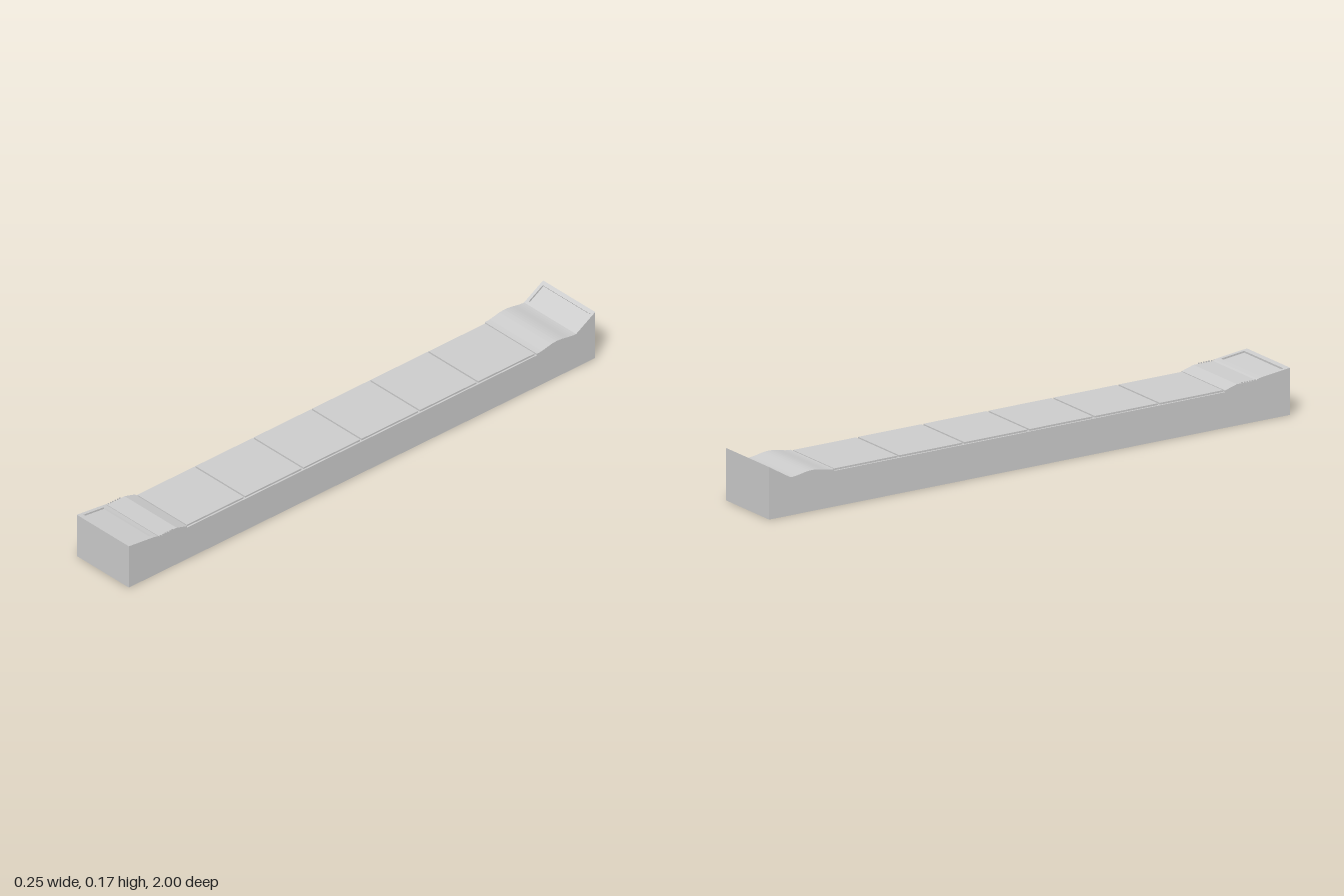
import * as THREE from 'three';

const HALF = 0.124;   // half width of the body
const INNER = 0.112;  // half width of the recessed end panels
const DECK = 0.119;   // bed under the raised deck plates

// Side outline as [z, y] points; "recessed" sinks the two end panels.
function outline(recessed) {
  const p = [[-1, 0], [1, 0], [1, 0.157]];
  if (recessed) p.push([0.982, 0.155], [0.982, 0.149], [0.895, 0.139]);
  p.push([0.893, 0.145], [0.876, 0.142], [0.87, 0.138], [0.81, 0.138], [0.795, 0.138]);
  p.push([0.75, 0.125], [0.75, DECK], [-0.75, DECK], [-0.75, 0.125]);
  // Rounded hump before the rear ramp
  for (let i = 1; i <= 16; i++) {
    const t = i / 16;
    const z = -0.75 - 0.168 * t;
    p.push([z, 0.125 + 0.002 * t + 0.011 * Math.sin(Math.PI * t) ** 2]);
  }
  if (recessed) p.push([-0.928, 0.133], [-0.932, 0.128], [-0.991, 0.163], [-0.987, 0.168]);
  p.push([-1, 0.175]);
  return p;
}

// Extrudes a [z, y] outline between two x positions.
function strip(name, points, x0, x1, material) {
  const shape = new THREE.Shape(points.map(([z, y]) => new THREE.Vector2(z, y)));
  const geo = new THREE.ExtrudeGeometry(shape, { depth: x1 - x0, bevelEnabled: false });
  geo.rotateY(-Math.PI / 2).translate(x1, 0, 0);
  const mesh = new THREE.Mesh(geo, material);
  mesh.name = name;
  return mesh;
}

export function createModel() {
  const model = new THREE.Group();
  model.name = 'longRampedBase';
  const grey = new THREE.MeshStandardMaterial({ color: 0xcccccc });
  grey.name = 'lightGrey';

  // Body: centre with sunken end panels, framed by two full-height rims
  model.add(
    strip('bodyCentre', outline(true), -INNER, INNER, grey),
    strip('rightRim', outline(false), -HALF, -INNER, grey),
    strip('leftRim', outline(false), INNER, HALF, grey),
  );

  // Raised deck plates separated by narrow gaps
  const plateGeo = new THREE.BoxGeometry(0.236, 0.008, 0.242);
  for (let i = 0; i < 6; i++) {
    const plate = new THREE.Mesh(plateGeo, grey);
    plate.name = 'deckPlate' + (i + 1);
    plate.position.set(0, 0.121, -0.625 + i * 0.25);
    model.add(plate);
  }

  // Small ribbed half-round bosses on both sides near the front
  const bossGeo = new THREE.CylinderGeometry(0.03, 0.03, 0.002, 24, 1, false, 0, Math.PI);
  bossGeo.rotateX(Math.PI / 2).rotateZ(-Math.PI / 2).rotateY(Math.PI / 2).scale(1, 0.8, 1);
  const ribGeo = new THREE.BoxGeometry(0.002, 0.012, 0.005);
  for (const side of [-1, 1]) {
    const boss = new THREE.Group();
    boss.name = side > 0 ? 'leftBoss' : 'rightBoss';
    const cap = new THREE.Mesh(bossGeo, grey);
    cap.name = 'halfRound';
    cap.position.set(side * HALF, 0.134, 0.845);
    boss.add(cap);
    for (let i = 0; i < 7; i++) {
      const rib = new THREE.Mesh(ribGeo, grey);
      rib.name = 'rib';
      rib.position.set(side * HALF, 0.136, 0.815 + i * 0.01);
      boss.add(rib);
    }
    model.add(boss);
  }
  return model;
}
